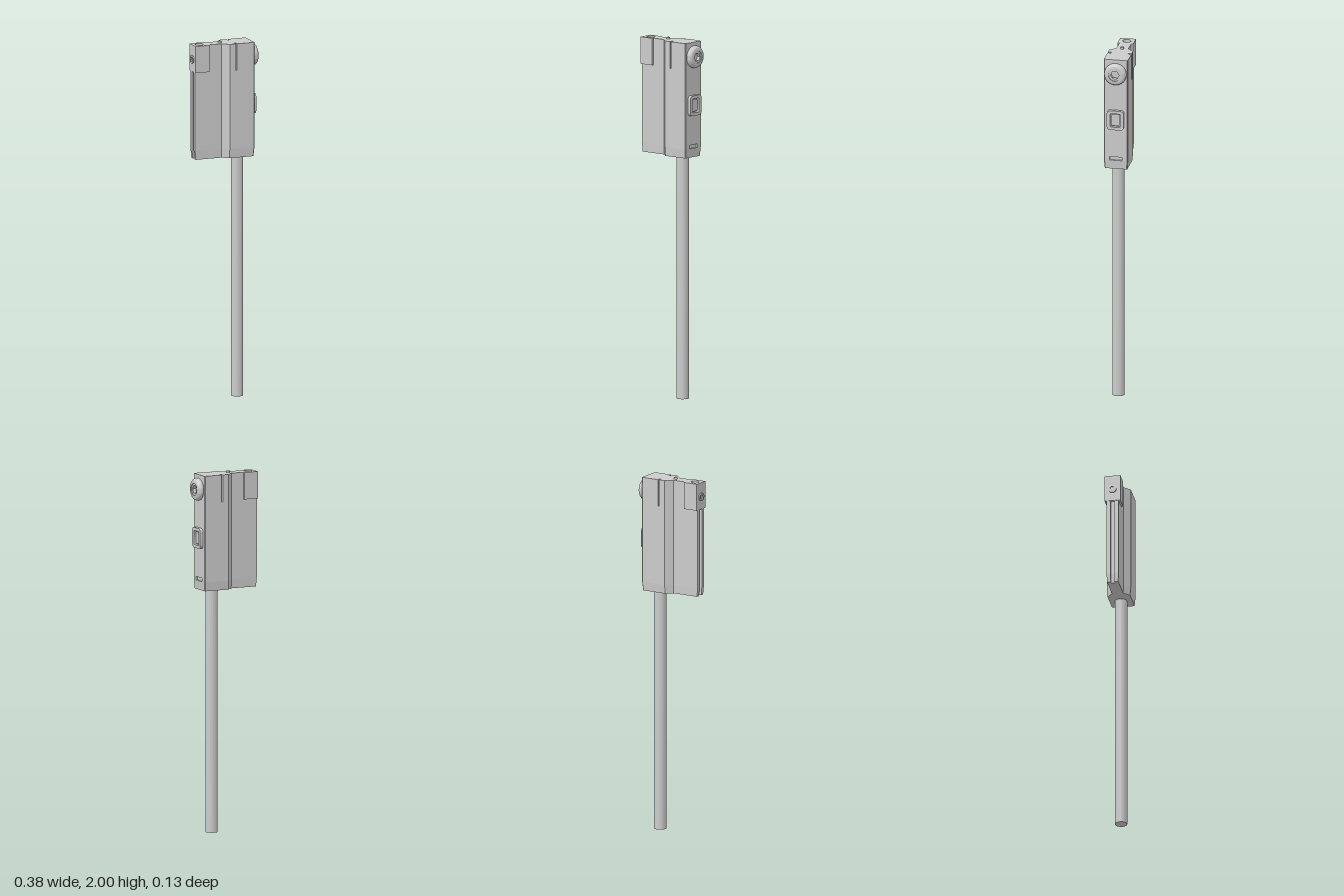
import * as THREE from 'three';
import { toCreasedNormals } from 'three/addons/utils/BufferGeometryUtils.js';

const material = new THREE.MeshStandardMaterial({ color: 0xcccccc });

function part(parent, name, geometry, x = 0, y = 0, z = 0) {
  const mesh = new THREE.Mesh(toCreasedNormals(geometry, 0.6), material);
  mesh.name = name;
  mesh.position.set(x, y, z);
  parent.add(mesh);
  return mesh;
}

const extrude = (shape, depth) =>
  new THREE.ExtrudeGeometry(shape, { depth, bevelEnabled: false, curveSegments: 20 });

// Plan outline (x, z) raised between two heights
const slab = (shape, y0, y1) => extrude(shape, y1 - y0).rotateX(-Math.PI / 2).translate(0, y0, 0);

// Shape pushed out along +x, its width lying along z
const outward = (shape, depth) => extrude(shape, depth).rotateY(Math.PI / 2);

function circle(r, sides = 40) {
  const pts = [];
  for (let i = 0; i < sides; i++) {
    const a = (i / sides) * Math.PI * 2;
    pts.push(new THREE.Vector2(r * Math.cos(a), r * Math.sin(a)));
  }
  return pts;
}

function roundedRect(w, h, r) {
  const s = new THREE.Shape();
  s.absarc(w - r, h - r, r, 0, Math.PI / 2);
  s.absarc(r - w, h - r, r, Math.PI / 2, Math.PI);
  s.absarc(r - w, r - h, r, Math.PI, Math.PI * 1.5);
  s.absarc(w - r, r - h, r, Math.PI * 1.5, Math.PI * 2);
  s.closePath();
  return s;
}

// Half the plan outline from left end to right end, mirrored across z = 0
function bodyOutline({ left = -0.182, groove = false, slits = false, slot = false }) {
  const half = [];
  if (groove) half.push([left + 0.014, 0.012], [left, 0.012]);
  half.push([left, 0.033], [-0.025, 0.033], [0.01, 0.067]);
  if (slits) half.push([0.046, 0.067], [0.046, 0.059], [0.044, 0.059], [0.044, 0.047],
    [0.056, 0.047], [0.056, 0.059], [0.054, 0.059], [0.054, 0.067]);
  half.push([0.154, 0.067], [0.158, 0.063]);
  if (slot) half.push([0.158, 0.035], [0.148, 0.035]);
  const mirrored = half.map(([x, z]) => [x, -z]).reverse();
  return new THREE.Shape([...half, ...mirrored].map(([x, z]) => new THREE.Vector2(x, z)));
}

export function createModel() {
  const model = new THREE.Group();
  model.name = 'cabledSensor';

  // Housing, in layers so the slot and the slits are true recesses
  const housing = new THREE.Group();
  housing.name = 'housing';
  model.add(housing);
  const base = slab(bodyOutline({ groove: true }), 1.35, 1.4);
  const p = base.attributes.position;
  for (let i = 0; i < p.count; i++) { // slightly tapered foot
    if (p.getY(i) < 1.36) p.setXYZ(i, -0.012 + (p.getX(i) + 0.012) * 0.975, p.getY(i), p.getZ(i) * 0.94);
  }
  base.translate(0, 0, 0);
  part(housing, 'housingFoot', base);
  part(housing, 'housingSlotLayer', slab(bodyOutline({ groove: true, slot: true }), 1.4, 1.42));
  part(housing, 'housingMiddle', slab(bodyOutline({ groove: true }), 1.42, 1.84));
  part(housing, 'housingTop', slab(bodyOutline({ left: -0.1, slits: true }), 1.84, 1.99));

  // Clamp block with a vertical bore crossed by a screw
  const block = new THREE.Shape([[-0.184, -0.044], [-0.1, -0.044], [-0.1, 0.044], [-0.184, 0.044]]
    .map(([x, z]) => new THREE.Vector2(x, z)));
  block.holes.push(new THREE.Path(circle(0.023).map((v) => v.add(new THREE.Vector2(-0.145, 0)))));
  part(model, 'clampBlock', slab(block, 1.84, 1.99));
  part(model, 'clampScrewShaft',
    new THREE.CylinderGeometry(0.023, 0.023, 0.075, 32).rotateZ(Math.PI / 2), -0.1455, 1.91, 0);
  const screwHead = new THREE.Shape(circle(0.023));
  screwHead.holes.push(new THREE.Path(circle(0.014, 6)));
  part(model, 'clampScrewHead', outward(screwHead, 0.008), -0.191, 1.91, 0);

  // Rounded knob with a hexagonal socket
  const knob = new THREE.Group();
  knob.name = 'knob';
  knob.position.set(0.157, 1.91, 0);
  model.add(knob);
  const profile = [[0, 0], [0.056, 0], [0.061, 0.004]];
  for (let i = 0; i <= 8; i++) {
    const a = (i / 8) * Math.PI / 2;
    profile.push([0.042 + 0.02 * Math.cos(a), 0.013 + 0.02 * Math.sin(a)]);
  }
  profile.push([0.034, 0.033], [0.034, 0.01], [0, 0.01]);
  part(knob, 'knobShell', new THREE.LatheGeometry(profile.map(([r, y]) => new THREE.Vector2(r, y)), 48)
    .rotateZ(-Math.PI / 2));
  const socket = new THREE.Shape(circle(0.034, 48));
  socket.holes.push(new THREE.Path(circle(0.024, 6)));
  part(knob, 'knobSocket', outward(socket, 0.018), 0.01, 0, 0);

  // Push button set in a rounded frame
  const frame = roundedRect(0.047, 0.056, 0.018);
  frame.holes.push(new THREE.Path(roundedRect(0.028, 0.039, 0.006).getPoints(6)));
  part(model, 'buttonFrame', outward(frame, 0.019), 0.157, 1.64, 0);
  part(model, 'button', outward(roundedRect(0.022, 0.033, 0.004), 0.01), 0.157, 1.64, 0);

  // Indicator pin on top
  part(model, 'indicatorPin', new THREE.CylinderGeometry(0.01, 0.01, 0.02, 24), -0.021, 1.99, 0);

  // Long cable
  part(model, 'cable', new THREE.CylinderGeometry(0.034, 0.034, 1.36, 40), 0.081, 0.68, 0);
  return model;
}
